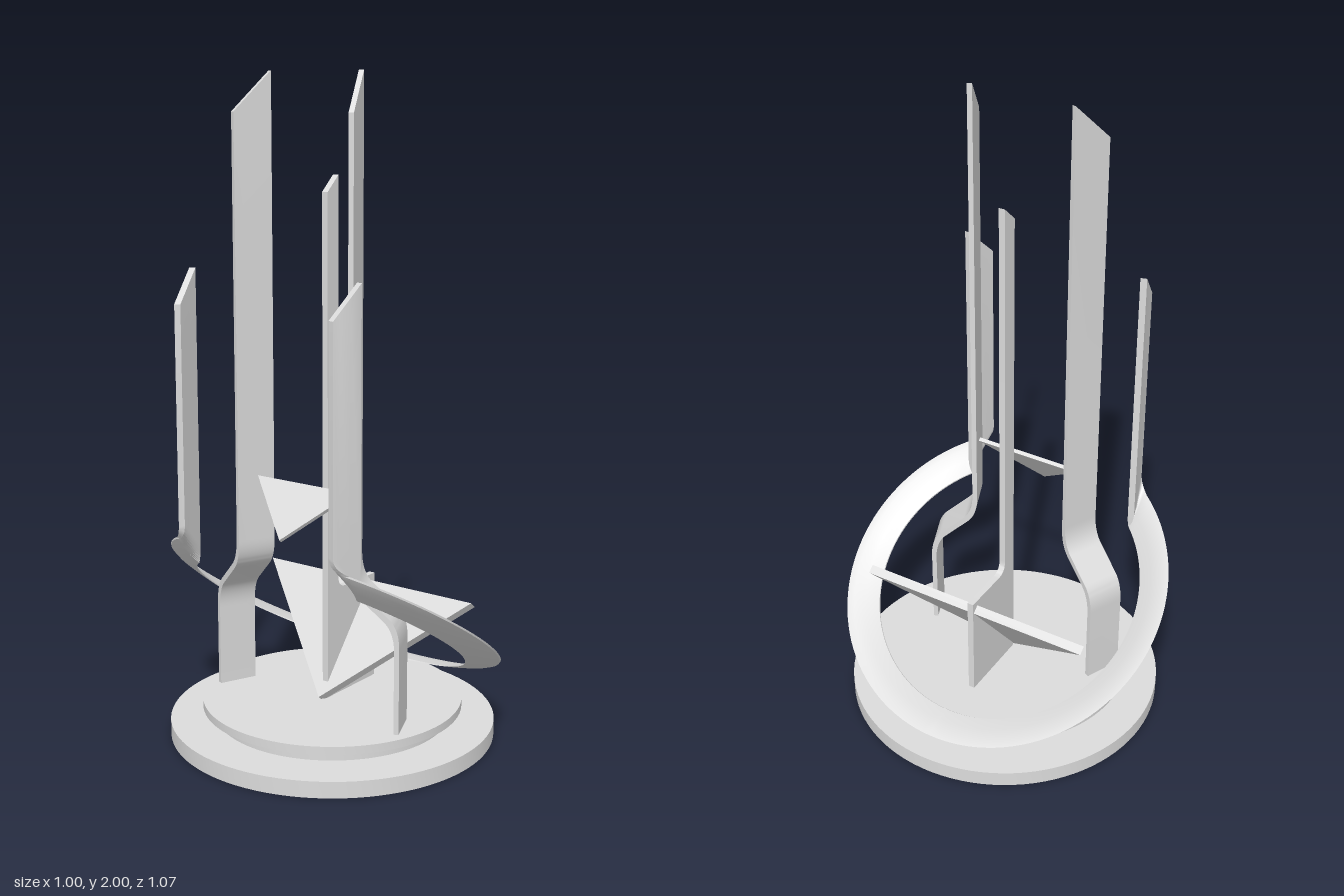
import * as THREE from 'three';
import { toCreasedNormals } from 'three/addons/utils/BufferGeometryUtils.js';

const grey = new THREE.MeshStandardMaterial({ color: 0xdcdcdc });
grey.name = 'satin grey';

function polygon(points) {
  return new THREE.Shape(points.map(([x, y]) => new THREE.Vector2(x, y)));
}

function extrude(shape, depth) {
  return new THREE.ExtrudeGeometry(shape, { depth, bevelEnabled: false, curveSegments: 10 });
}

// Mirror across z and turn the triangles round again
function mirrorZ(geometry) {
  const g = geometry.clone().scale(1, 1, -1);
  const p = g.attributes.position;
  const a = new THREE.Vector3(), b = new THREE.Vector3();
  for (let i = 0; i < p.count; i += 3) {
    a.fromBufferAttribute(p, i + 1);
    b.fromBufferAttribute(p, i + 2);
    p.setXYZ(i + 1, b.x, b.y, b.z);
    p.setXYZ(i + 2, a.x, a.y, a.z);
  }
  return g;
}

export function createModel() {
  const model = new THREE.Group();
  model.name = 'abstractSculpture';

  const add = (name, geometry) => {
    const mesh = new THREE.Mesh(toCreasedNormals(geometry, 0.5), grey);
    mesh.name = name;
    model.add(mesh);
  };
  const addPair = (name, geometry) => {
    add('left' + name, geometry);
    add('right' + name, mirrorZ(geometry));
  };

  // Stepped round base with a shallow recess underneath
  const baseProfile = [[0, 0.03], [0.36, 0.03], [0.36, 0], [0.5, 0], [0.5, 0.05],
    [0.36, 0.05], [0.36, 0.085], [0.4, 0.085], [0.4, 0.11], [0, 0.11]];
  add('base', new THREE.LatheGeometry(baseProfile.map(([x, y]) => new THREE.Vector2(x, y)), 96));

  // Tall blades: S-bent strips with a slanted top
  const bend = new THREE.Shape();
  bend.moveTo(0, 2);
  bend.lineTo(0, 0.61);
  bend.quadraticCurveTo(0, 0.55, 0.03, 0.52);
  bend.lineTo(0.108, 0.45);
  bend.quadraticCurveTo(0.138, 0.42, 0.138, 0.36);
  bend.lineTo(0.138, 0.1);
  bend.lineTo(0.153, 0.1);
  bend.lineTo(0.153, 0.37);
  bend.quadraticCurveTo(0.153, 0.43, 0.123, 0.46);
  bend.lineTo(0.045, 0.53);
  bend.quadraticCurveTo(0.015, 0.56, 0.015, 0.62);
  bend.lineTo(0.015, 2);
  const blade = extrude(bend, 0.122);
  const bp = blade.attributes.position;
  for (let i = 0; i < bp.count; i++) {
    if (bp.getY(i) > 1.9 && bp.getZ(i) > 0.06) bp.setY(i, 1.885);
  }
  addPair('TallBlade', blade.rotateY(-1.17).translate(-0.086, 0, 0.156));

  // Tilted ring whose two ends turn up into short blades
  addPair('RingHalfWithShortBlade', ribbonGeometry());

  // Central fin with a wide foot
  const fin = new THREE.Shape();
  fin.moveTo(-0.036, 0.1);
  fin.lineTo(0.209, 0.1);
  fin.lineTo(0.209, 0.45);
  fin.lineTo(0.055, 0.45);
  fin.quadraticCurveTo(0.017, 0.45, 0.017, 0.49);
  fin.lineTo(0.017, 1.705);
  fin.lineTo(-0.036, 1.657);
  add('centralFin', extrude(fin, 0.02).translate(0, 0, -0.01));

  // Tilted triangular plates, pointed at the low end
  const triangle = (name, x, y, dx, dy, halfWidth, thickness) => {
    const length = Math.hypot(dx, dy);
    const g = extrude(polygon([[0, 0], [length, -halfWidth], [length, halfWidth]]), thickness);
    g.translate(0, 0, -thickness).rotateX(-Math.PI / 2).rotateZ(Math.atan2(dy, dx));
    add(name, g.translate(x, y, 0));
  };
  triangle('largeTriangle', -0.07, 0.12, 0.254, 0.312, 0.385, 0.028);
  triangle('smallTriangle', -0.257, 0.665, 0.117, 0.145, 0.175, 0.012);
  return model;
}

// One half of the ring, swept from its low front point up into a blade
function ribbonGeometry() {
  const tilt = 0.594, steps = 48, bendSteps = 8;
  const c = Math.cos(tilt), s = Math.sin(tilt);
  // ring radius, height above the ring plane, share of the blade width, blade face offset
  const section = [
    [0.535, -0.001, 0, 0.02], [0.512, -0.003, 0.22, 0.02], [0.475, -0.016, 0.6, 0.02], [0.436, -0.036, 1, 0.02],
    [0.435, -0.04, 1, 0], [0.475, -0.029, 0.6, 0], [0.512, -0.017, 0.22, 0], [0.533, -0.006, 0, 0]];
  const n = section.length;

  const ringPoint = ([r, h, share], t) => {
    const a = t * (2.5 - 0.1 * share);
    const u = r * Math.cos(a);
    return new THREE.Vector3(0.01 + u * c + h * s, 0.4 - u * s + h * c, r * Math.sin(a));
  };
  const bladePoint = ([, , share, offset], y, slope) => {
    const w = 0.098 * share;
    return new THREE.Vector3(-0.37 + 0.966 * w - 0.257 * offset, y + slope * w, 0.265 + 0.257 * w + 0.966 * offset);
  };

  const rows = [];
  for (let i = 0; i <= steps; i++) rows.push(section.map((p) => ringPoint(p, i / steps)));
  const bends = section.map((p) => new THREE.QuadraticBezierCurve3(
    ringPoint(p, 1), bladePoint(p, 0.648 + 0.5 * p[3], -0.9), bladePoint(p, 0.69, -0.9)));
  for (let i = 1; i <= bendSteps; i++) rows.push(bends.map((b) => b.getPoint(i / bendSteps)));
  rows.push(section.map((p) => bladePoint(p, 1.345, 0.97)));

  const index = [];
  for (let i = 0; i < rows.length - 1; i++) {
    for (let k = 0; k < n; k++) {
      const a = i * n + k, b = i * n + (k + 1) % n;
      index.push(a, b, a + n, b, b + n, a + n);
    }
  }
  const e = (rows.length - 1) * n;
  for (let k = 1; k < n - 1; k++) index.push(e, e + k, e + k + 1);
  const g = new THREE.BufferGeometry().setFromPoints(rows.flat());
  g.setIndex(index);
  return g.toNonIndexed();
}
